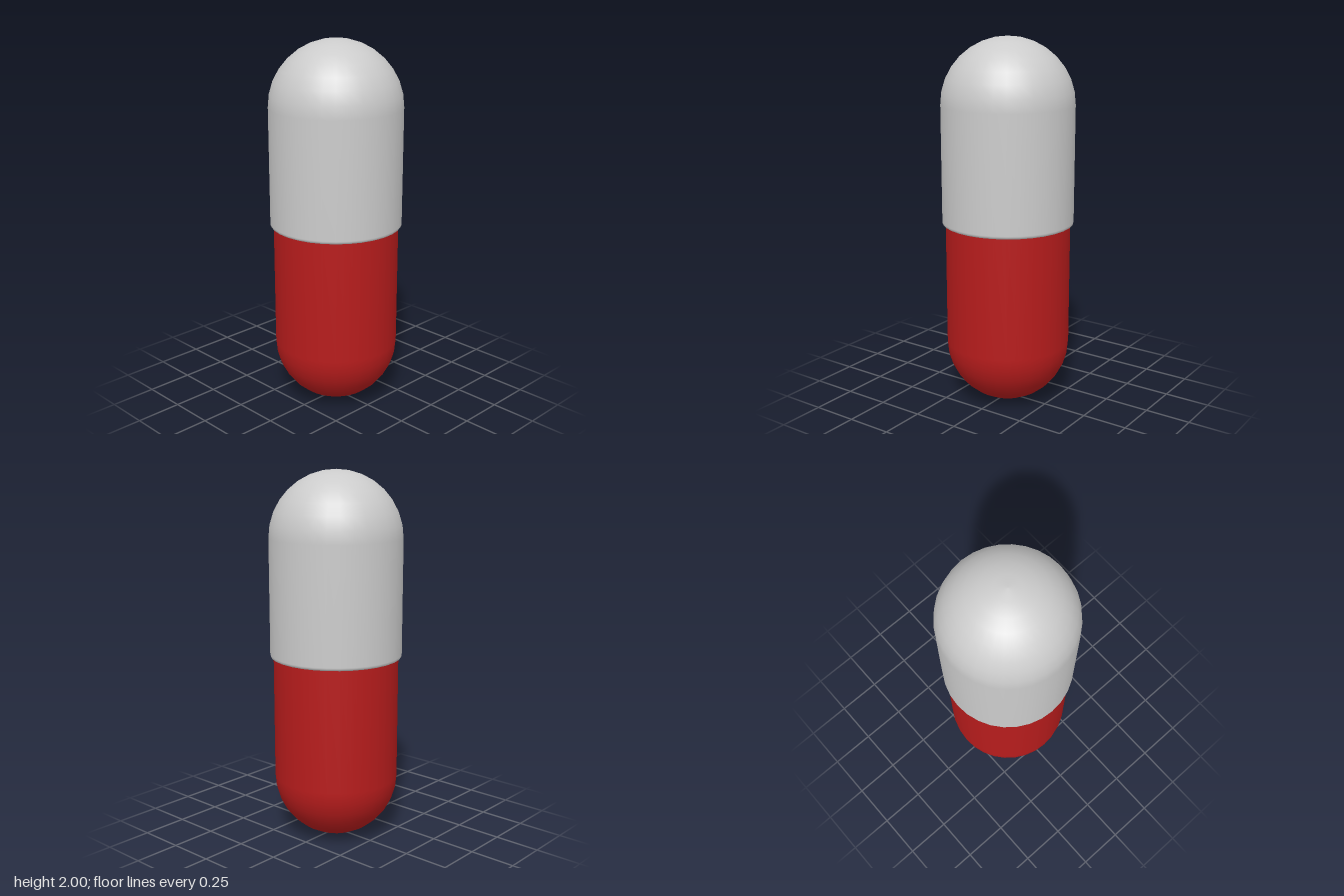
import * as THREE from 'three';

const SIDES = 32;
const RINGS = 8;

// Quarter circle of profile points around (0, cy), from angle a0 to a1
function arc(radius, cy, a0, a1) {
  return Array.from({ length: RINGS + 1 }, (_, i) => {
    const a = a0 + ((a1 - a0) * i) / RINGS;
    return new THREE.Vector2(Math.max(0, radius * Math.cos(a)), cy + radius * Math.sin(a));
  });
}

function lathePart(name, profile, color) {
  const material = new THREE.MeshStandardMaterial({ color, side: THREE.DoubleSide });
  const mesh = new THREE.Mesh(new THREE.LatheGeometry(profile, SIDES), material);
  mesh.name = name;
  return mesh;
}

export function createModel() {
  const group = new THREE.Group();
  group.name = 'capsule';
  const bodyR = 0.338, capR = 0.356, seam = 1.005, lip = 0.012;

  // Lower half: domed bottom and a straight wall running up to the seam
  const body = [
    ...arc(bodyR, bodyR, -Math.PI / 2, 0),
    new THREE.Vector2(bodyR, seam + 0.01),
  ];

  // Upper half: slightly wider, with a small rounded lip and a domed top
  const cap = [
    new THREE.Vector2(bodyR, seam),
    new THREE.Vector2(capR - lip, seam),
    new THREE.Vector2(capR - lip * 0.3, seam + lip * 0.3),
    new THREE.Vector2(capR, seam + lip),
    new THREE.Vector2(capR, seam + lip * 1.5),
    ...arc(capR, 2 - capR, 0, Math.PI / 2),
  ];

  group.add(lathePart('lowerShell', body, 0xb71c1c), lathePart('upperShell', cap, 0xcccccc));
  return group;
}
